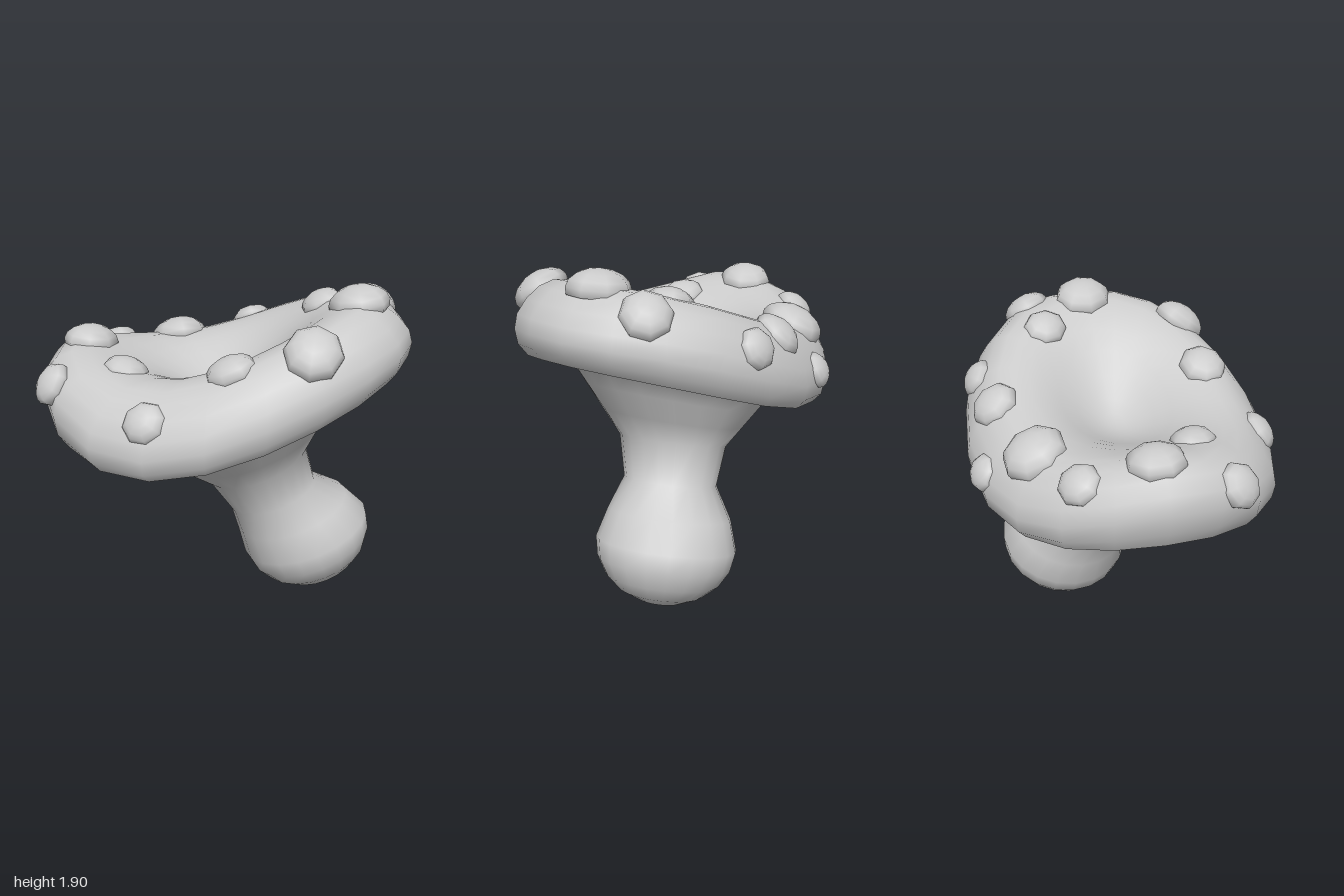
import * as THREE from 'three';
import { mergeVertices } from 'three/addons/utils/BufferGeometryUtils.js';

const SIDES = 20;
const A = 0.985, C = 0.82, CX = 0.01; // half length, half depth and middle of the cap
const material = new THREE.MeshStandardMaterial({ color: 0xcccccc, side: THREE.DoubleSide });

// The cap's outline swells at one front corner and draws in at the other
const swell = (t) => 1 + 0.075 * Math.max(0, Math.cos(t - 2.45)) ** 3
  - 0.03 * Math.max(0, Math.cos(t - 0.7)) ** 3;

// Heights of the cap's wavy underside and of its crest, both rising towards +x
const under = (x) => 1.1 + 0.294 * x + 0.23 * x * x - 0.137 * x ** 3;
const crest = (x) => 1.54 + 0.36 * x + 0.27 * x * x - 0.305 * x ** 3;

// Cap profile: share of the outline, and height from underside (0) to crest (1)
const gills = [[0.68, 0.09], [0.81, 0.07], [0.93, 0.0]];
const crown = [[0.93, 0.0], [0.985, 0.12], [1, 0.3], [0.98, 0.49], [0.92, 0.69], [0.84, 0.86],
  [0.75, 0.97], [0.66, 1], [0.56, 0.99], [0.46, 0.93], [0.36, 0.83], [0.25, 0.69],
  [0.14, 0.57], [0.06, 0.52], [0, 0.51]];
const upper = crown.slice(2);

// Joins rings of points into one smooth surface
function loft(rings) {
  const positions = [], index = [];
  rings.forEach((ring) => ring.forEach((p) => positions.push(p.x, p.y, p.z)));
  for (let i = 0; i < rings.length - 1; i++) {
    for (let j = 0; j < SIDES; j++) {
      const k = (j + 1) % SIDES;
      const a = i * SIDES + j, b = a + SIDES, c = i * SIDES + k, d = c + SIDES;
      index.push(a, b, c, b, d, c);
    }
  }
  const geometry = new THREE.BufferGeometry();
  geometry.setAttribute('position', new THREE.Float32BufferAttribute(positions, 3));
  geometry.setIndex(index);
  const merged = mergeVertices(geometry);
  merged.computeVertexNormals();
  return merged;
}

const around = (fn) => Array.from({ length: SIDES }, (_, j) => fn((j / SIDES) * Math.PI * 2));

const capRing = ([s, h]) => around((t) => {
  const r = s * swell(t), x = CX + A * r * Math.cos(t);
  return new THREE.Vector3(x, THREE.MathUtils.lerp(under(x), crest(x), h), C * r * Math.sin(t));
});

// Ring of the leaning stem
const axis = new THREE.Vector3(-0.34, 0.93, 0.08).normalize();
const across = new THREE.Vector3(1, 0, 0).addScaledVector(axis, -axis.x).normalize();
const side = new THREE.Vector3().crossVectors(across, axis);
const stemRing = (centre, r) => around((t) => centre.clone()
  .addScaledVector(across, r * Math.cos(t)).addScaledVector(side, r * Math.sin(t)));

// Bulb, neck, and flare out to the cap's rim
function stemGeometry() {
  const bulb = new THREE.Vector3(0.43, 0.335, -0.22);
  const rings = [0, 18, 36, 54, 72, 90].map((deg) => {
    const f = THREE.MathUtils.degToRad(deg);
    return stemRing(bulb.clone().addScaledVector(axis, -0.335 * Math.cos(f)), 0.387 * Math.sin(f));
  });
  rings.push(stemRing(new THREE.Vector3(0.35, 0.475, -0.19), 0.34));
  rings.push(stemRing(new THREE.Vector3(0.24, 0.61, -0.125), 0.26));
  const neck = stemRing(new THREE.Vector3(0.15, 0.815, -0.085), 0.3);
  const top = capRing(gills[0]);
  for (const k of [0, 0.33, 0.67]) rings.push(neck.map((p, j) => p.clone().lerp(top[j], k)));
  return loft([...rings, ...gills.map(capRing)]);
}

// Share of the outline at a point: 0 in the middle, 1 on the rim
function share(x, z) {
  const u = (x - CX) / A, w = z / C;
  return Math.hypot(u, w) / swell((Math.atan2(w, u) + Math.PI * 2) % (Math.PI * 2));
}

// Height of the cap's upper surface at a point
function capHeight(x, z) {
  const s = Math.min(share(x, z), 1);
  const i = Math.max(upper.findIndex((p) => p[0] <= s), 1);
  const [s0, h0] = upper[i - 1], [s1, h1] = upper[i];
  return THREE.MathUtils.lerp(under(x), crest(x), THREE.MathUtils.mapLinear(s, s0, s1, h0, h1));
}

// Dome sitting square to the cap's surface
function wart([x, z, r], i) {
  const s = share(x, z), e = 0.05;
  const k = Math.min(1, 0.95 / s);
  const px = CX + (x - CX) * k, pz = z * k;
  const normal = new THREE.Vector3(
    (capHeight(px - e, pz) - capHeight(px + e, pz)) / (2 * e), 1,
    (capHeight(px, pz - e) - capHeight(px, pz + e)) / (2 * e)).normalize();
  const q = Math.min(1, 0.98 / s);
  const geometry = new THREE.SphereGeometry(r, 8, 5, 0, Math.PI * 2, 0, Math.PI * 0.6);
  geometry.scale(1, 0.62, 0.95);
  geometry.rotateY(i * 1.7);
  const mesh = new THREE.Mesh(geometry, material);
  mesh.name = `wart${i + 1}`;
  mesh.position.set(CX + (x - CX) * q, capHeight(x, z), z * q).addScaledVector(normal, -0.02);
  mesh.quaternion.setFromUnitVectors(new THREE.Vector3(0, 1, 0), normal);
  return mesh;
}

export function createModel() {
  const group = new THREE.Group();
  group.name = 'mushroom';

  const stem = new THREE.Mesh(stemGeometry(), material);
  stem.name = 'stemAndGills';
  const cap = new THREE.Mesh(loft(crown.map(capRing)), material);
  cap.name = 'cap';

  // Warts: x, z and radius
  const warts = new THREE.Group();
  warts.name = 'warts';
  [[-0.22, -0.78, 0.105], [0.04, -0.66, 0.135], [0.35, -0.71, 0.115], [-0.39, -0.53, 0.175],
    [-0.73, -0.38, 0.12], [0.47, -0.28, 0.125], [0.77, -0.34, 0.14], [0.69, -0.01, 0.168],
    [-0.78, -0.01, 0.155], [-0.51, 0.27, 0.13], [-0.9, 0.39, 0.125], [0.09, 0.53, 0.14],
    [0.5, 0.53, 0.16], [-0.31, 0.73, 0.12]].forEach((w, i) => warts.add(wart(w, i)));

  group.add(stem, cap, warts);
  return group;
}
